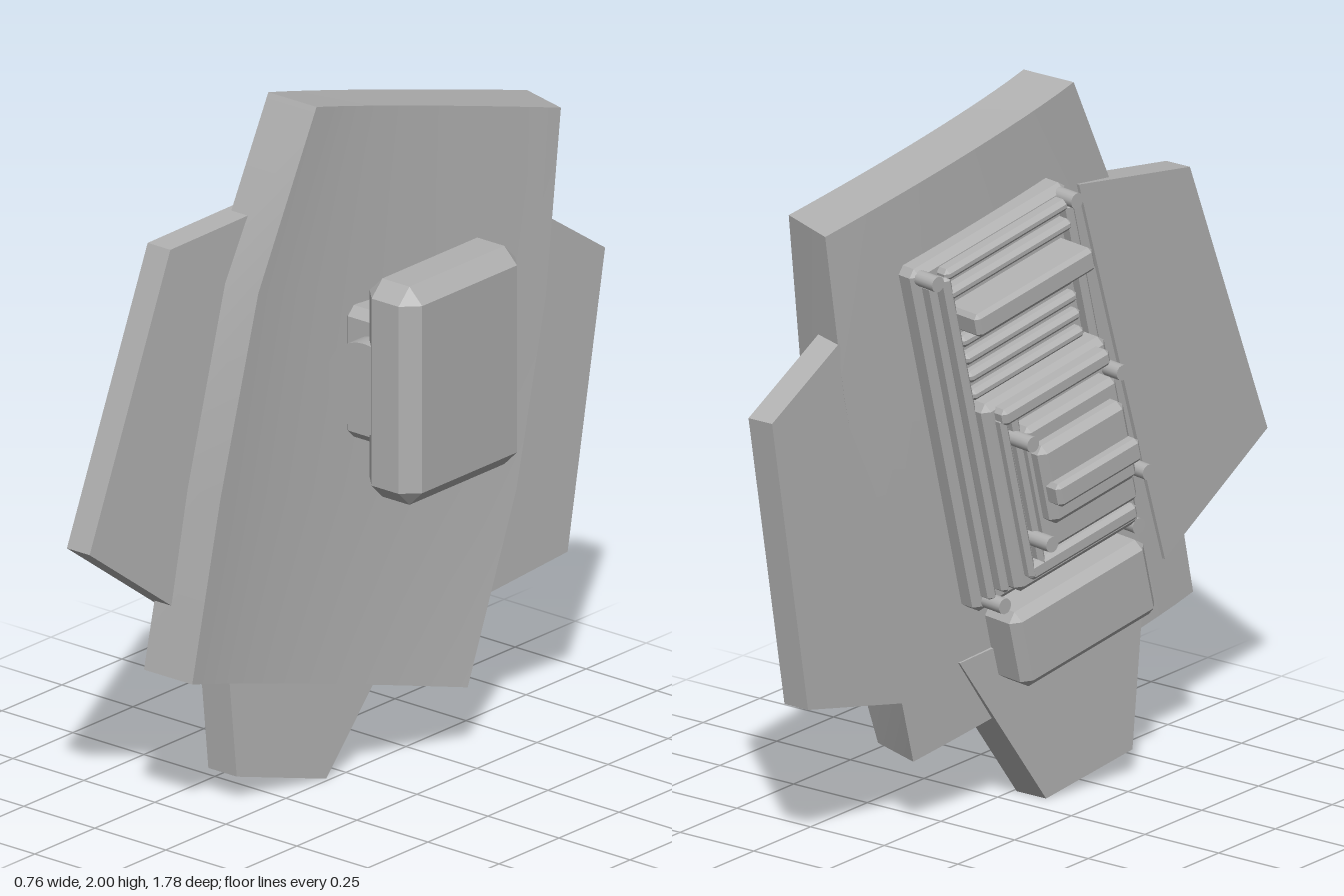
import * as THREE from 'three';
import { ConvexGeometry } from 'three/addons/geometries/ConvexGeometry.js';

export function createModel() {
  const model = new THREE.Group();
  const grey = new THREE.MeshStandardMaterial({ color: 0xb0b0b0 });
  grey.name = 'plain grey';

  function add(parent, name, geometry, x = 0, y = 0, z = 0) {
    const mesh = new THREE.Mesh(geometry, grey);
    mesh.name = name;
    mesh.position.set(x, y, z);
    parent.add(mesh);
    return mesh;
  }

  // Box with all edges and corners cut off by c
  function chamferBox(w, h, d, c) {
    const pts = [];
    for (const i of [-1, 1]) for (const j of [-1, 1]) for (const k of [-1, 1]) {
      const [a, b, e] = [w / 2, h / 2, d / 2];
      pts.push(new THREE.Vector3(i * a, j * (b - c), k * (e - c)));
      pts.push(new THREE.Vector3(i * (a - c), j * b, k * (e - c)));
      pts.push(new THREE.Vector3(i * (a - c), j * (b - c), k * e));
    }
    return new ConvexGeometry(pts);
  }

  // Curved main plate: a box bent between two edge lines of (z, y) points
  const leftEdge = [[0.64, 0.445], [0.55, 0.96], [0.42, 1.52], [0.205, 2]];
  const rightInner = [[-0.365, 0.2], [-0.515, 0.8], [-0.63, 1.3], [-0.695, 1.775]];
  const rightOuter = [[-0.3, 0.2], [-0.485, 0.72], [-0.59, 1.25], [-0.635, 1.785]];
  const plate = new THREE.BoxGeometry(1, 1, 1, 1, 3, 14);
  const p = plate.attributes.position;
  for (let i = 0; i < p.count; i++) {
    const outer = p.getX(i) > 0;
    const v = p.getY(i) + 0.5, u = 0.5 - p.getZ(i);
    const row = Math.round(v * 3);
    const a = leftEdge[row], b = (outer ? rightOuter : rightInner)[row];
    const x = (outer ? 0 : -0.17) + 0.07 * v + (0.175 - 0.025 * v) * Math.pow(Math.max(u, 0), 1.45);
    p.setXYZ(i, x, a[1] + (b[1] - a[1]) * u, a[0] + (b[0] - a[0]) * u);
  }
  plate.computeVertexNormals();
  add(model, 'mainPlate', plate);

  // Slanted flat wings: outline in (z, y), outer face at x0 + slope * (z - z0)
  function wing(name, outline, x0, z0, slope, thickness) {
    const shape = new THREE.Shape(outline.map(([z, y]) => new THREE.Vector2(z, y)));
    const g = new THREE.ExtrudeGeometry(shape, { depth: thickness, bevelEnabled: false });
    const q = g.attributes.position;
    for (let i = 0; i < q.count; i++) {
      const z = q.getX(i);
      q.setXYZ(i, x0 + slope * (z - z0) - q.getZ(i), q.getY(i), z);
    }
    g.computeVertexNormals();
    add(model, name, g);
  }
  wing('frontWing', [[0.61, 1.665], [0.21, 1.71], [0.52, 0.57], [0.89, 0.855]], -0.15, 0.89, -0.17, 0.08);
  wing('rearWing', [[-0.48, 1.58], [-0.89, 1.29], [-0.76, 0.445], [-0.27, 0.355]], 0.16, -0.89, -0.17, 0.08);
  wing('lowerTail', [[0.4, 0.55], [0.36, 0.075], [0.07, 0], [-0.22, 0.45]], -0.08, 0.36, -0.24, 0.1);

  // Outer block with its mount and hinge
  add(model, 'outerBlock', chamferBox(0.185, 0.63, 0.485, 0.045), 0.277, 1.205, -0.078);
  add(model, 'mountBracket', chamferBox(0.16, 0.38, 0.4, 0.025), 0.138, 1.2, -0.11);
  const hinge = add(model, 'hinge', new THREE.CylinderGeometry(0.13, 0.13, 0.44, 32), 0.19, 1.2, -0.07);
  hinge.rotation.x = Math.PI / 2;

  // Inner mechanism, laid along the tilted plate; its outward side is local -x
  const inner = new THREE.Group();
  inner.name = 'innerMechanism';
  inner.position.set(-0.075, 1.18, -0.05);
  inner.rotation.set(-0.235, -0.17, -0.035);
  model.add(inner);

  // Block from depth d0 to d1, with centre y, height, centre z and width
  function block(name, d0, d1, y, h, z, w, c = 0.012) {
    return add(inner, name, chamferBox(d1 - d0, h, w, c), -(d0 + d1) / 2, y, z);
  }
  block('basePanel', -0.06, 0.06, 0, 1.06, 0, 0.58, 0.02);
  for (const z of [-0.255, -0.205, 0.255]) block('sideRail', 0.04, 0.1, 0, 0.98, z, 0.03);
  for (const y of [0.49, 0.43]) block('topRail', 0.04, 0.1, y, 0.035, 0.02, 0.46);
  block('upperBar', 0.04, 0.18, 0.35, 0.07, 0.02, 0.44);
  for (let i = 0; i < 4; i++) block('slat', 0.04, 0.09, 0.27 - i * 0.055, 0.035, 0.02, 0.42);
  block('middlePanel', 0.04, 0.14, -0.2, 0.58, 0.03, 0.46, 0.02);
  block('middleRail', 0.12, 0.18, 0.05, 0.05, 0.03, 0.4);
  for (const z of [-0.16, -0.12]) block('middleSideRail', 0.12, 0.17, -0.2, 0.5, z, 0.025);
  block('raisedPanel', 0.12, 0.2, -0.19, 0.38, 0.05, 0.34, 0.015);
  block('raisedBlock', 0.18, 0.245, -0.17, 0.24, 0.04, 0.32, 0.02);
  block('raisedBar', 0.2, 0.28, -0.19, 0.07, 0.04, 0.31);
  block('lowerBar', 0.12, 0.17, -0.43, 0.05, 0.03, 0.4);
  block('lowerBlock', -0.05, 0.12, -0.67, 0.23, 0.03, 0.5, 0.025);

  // Small pegs: local y, z and tip depth
  const pegs = [
    [0.5, -0.26, 0.12], [0.5, 0.26, 0.12], [-0.5, -0.25, 0.13], [-0.5, 0.25, 0.13],
    [0.0, 0.24, 0.2], [-0.03, -0.13, 0.23], [-0.34, -0.13, 0.23], [-0.3, 0.24, 0.23],
  ];
  for (const [y, z, d] of pegs) {
    const peg = add(inner, 'peg', new THREE.CylinderGeometry(0.022, 0.022, d, 16), -d / 2, y, z);
    peg.rotation.z = Math.PI / 2;
  }
  return model;
}
